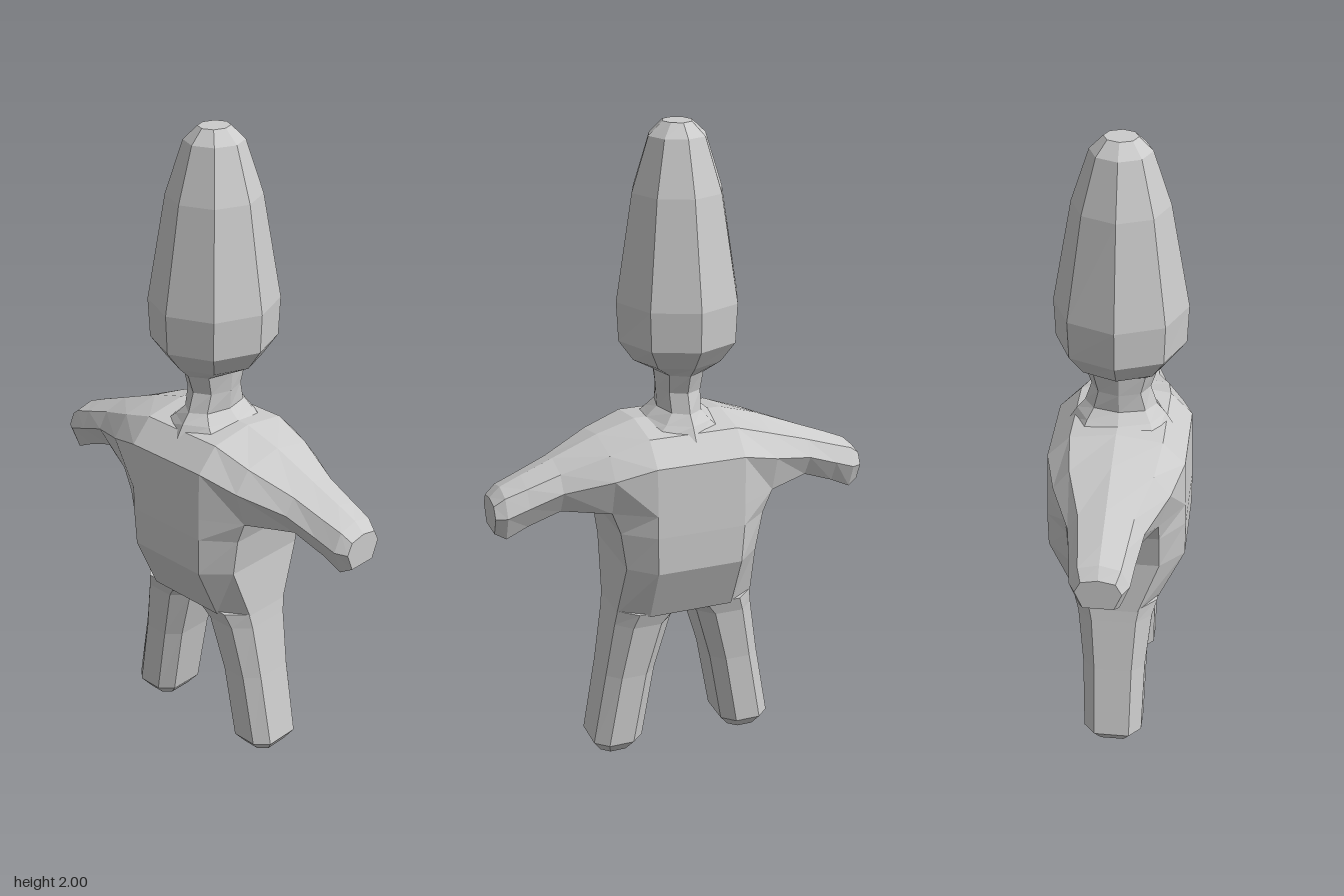
import * as THREE from 'three';

const material = new THREE.MeshStandardMaterial({ color: 0xcccccc, flatShading: true });

// Skins a list of equal-length point rings and caps both ends.
function loft(name, rings) {
  const n = rings[0].length, pos = [];
  const tri = (...pts) => pts.forEach(p => pos.push(...p));
  for (let r = 0; r < rings.length - 1; r++) {
    for (let i = 0; i < n; i++) {
      const j = (i + 1) % n, lo = rings[r], hi = rings[r + 1];
      tri(lo[i], lo[j], hi[j]);
      tri(lo[i], hi[j], hi[i]);
    }
  }
  const first = rings[0], last = rings[rings.length - 1];
  for (let i = 1; i < n - 1; i++) {
    tri(first[0], first[i + 1], first[i]);
    tri(last[0], last[i], last[i + 1]);
  }
  const geo = new THREE.BufferGeometry();
  geo.setAttribute('position', new THREE.Float32BufferAttribute(pos, 3));
  geo.computeVertexNormals();
  const mesh = new THREE.Mesh(geo, material);
  mesh.name = name;
  return mesh;
}

// Level octagon with its corners on the axes.
const roundRing = ([y, rx, rz]) => Array.from({ length: 8 }, (_, i) => {
  const t = i * Math.PI / 4;
  return [rx * Math.sin(t), y, rz * Math.cos(t)];
});

// Level octagon with flat front, back and sides: half sizes hx, hz; flat half lengths fx, fz.
const boxRing = (cx, y, hx, hz, fx, fz) => [
  [-fx, hz], [fx, hz], [hx, fz], [hx, -fz], [fx, -hz], [-fx, -hz], [-hx, -fz], [-hx, fz],
].map(([x, z]) => [cx + x, y, z]);

// Upright cross-section of the shoulders and arms at a given x.
const armRing = ([x, yTop, yUp, zUp, yMid, zMid, yLow, zLow]) => [
  [x, yTop, 0], [x, yUp, zUp], [x, yMid, zMid], [x, yLow, zLow],
  [x, yLow, -zLow], [x, yMid, -zMid], [x, yUp, -zUp],
];

export function createModel() {
  const model = new THREE.Group();
  model.name = 'figure';

  // Tall tapered head on a short flared neck
  model.add(loft('headAndNeck', [
    [1.07, 0.16, 0.16], [1.11, 0.1, 0.135], [1.14, 0.066, 0.11], [1.2, 0.07, 0.09],
    [1.26, 0.076, 0.11], [1.295, 0.14, 0.145], [1.36, 0.186, 0.195], [1.48, 0.192, 0.2],
    [1.8, 0.14, 0.143], [1.96, 0.088, 0.09], [2.0, 0.045, 0.05],
  ].map(roundRing)));

  // Shoulders and both arms in one mirrored sweep
  const half = [
    [0.14, 1.11, 1.09, 0.14, 1.02, 0.208, 0.87, 0.212],
    [0.26, 1.075, 1.05, 0.125, 0.985, 0.175, 0.87, 0.14],
    [0.4, 1.018, 0.995, 0.082, 0.945, 0.113, 0.875, 0.075],
    [0.5, 0.978, 0.958, 0.07, 0.905, 0.096, 0.835, 0.062],
    [0.565, 0.95, 0.935, 0.062, 0.88, 0.088, 0.803, 0.058],
    [0.598, 0.92, 0.91, 0.05, 0.875, 0.068, 0.82, 0.045],
  ];
  const mirrored = half.map(([x, ...rest]) => [-x, ...rest]).reverse();
  model.add(loft('shouldersAndArms', [...mirrored, ...half].map(armRing)));

  // Torso, narrowing in depth toward the hips
  model.add(loft('torso', [
    boxRing(0.005, 0.5, 0.224, 0.133, 0.135, 0.075),
    boxRing(0.005, 0.68, 0.212, 0.213, 0.135, 0.14),
    boxRing(0.002, 0.8, 0.232, 0.214, 0.14, 0.14),
    boxRing(0, 0.87, 0.26, 0.212, 0.14, 0.14),
  ]));

  // Splayed legs: height, inner x, outer x, half depth
  const leg = [
    [0, 0.17, 0.272, 0.06], [0.04, 0.138, 0.299, 0.093], [0.28, 0.096, 0.257, 0.099],
    [0.46, 0.045, 0.229, 0.117], [0.51, 0, 0.222, 0.132],
  ];
  for (const [name, side] of [['leftLeg', 1], ['rightLeg', -1]]) {
    model.add(loft(name, leg.map(([y, inner, outer, hz]) => {
      const hx = (outer - inner) / 2;
      return boxRing(side * (inner + outer) / 2 + 0.006, y, hx, hz, hx * 0.5, hz * 0.6);
    })));
  }
  return model;
}
